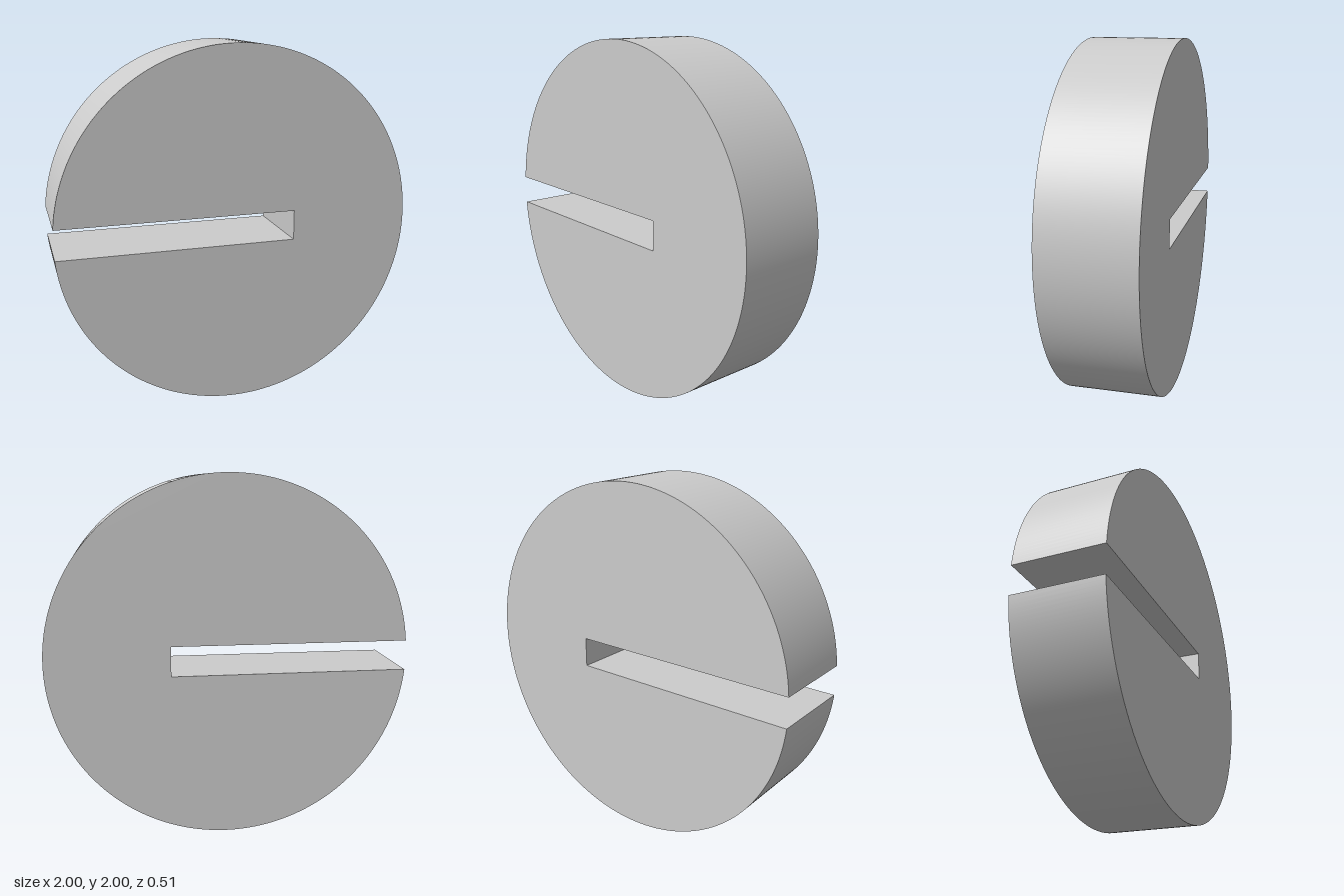
import * as THREE from 'three';
import { toCreasedNormals } from 'three/addons/utils/BufferGeometryUtils.js';

const RADIUS = 1;
const DEPTH = 0.51;
const SLOT_HALF = 0.083; // half the slot's height
const SLOT_END = 0.32; // x of the slot's closed end

export function createModel() {
  const group = new THREE.Group();
  group.name = 'slottedDiscModel';

  // Disc outline: an arc from the slot's lower lip round to its upper lip, then the slot itself
  const lip = Math.asin(SLOT_HALF / RADIUS);
  const outline = new THREE.Shape();
  outline.absarc(0, 0, RADIUS, -Math.PI + lip, Math.PI - lip, false);
  outline.lineTo(SLOT_END, SLOT_HALF);
  outline.lineTo(SLOT_END, -SLOT_HALF);
  outline.closePath();

  // Thick disc, smooth round the rim and sharp at the faces and slot
  const extruded = new THREE.ExtrudeGeometry(outline, {
    depth: DEPTH,
    bevelEnabled: false,
    curveSegments: 128,
  });
  extruded.translate(0, RADIUS, -DEPTH / 2);

  const disc = new THREE.Mesh(
    toCreasedNormals(extruded, Math.PI / 6),
    new THREE.MeshStandardMaterial({ color: 0xcccccc })
  );
  disc.name = 'slottedDisc';
  group.add(disc);
  return group;
}
